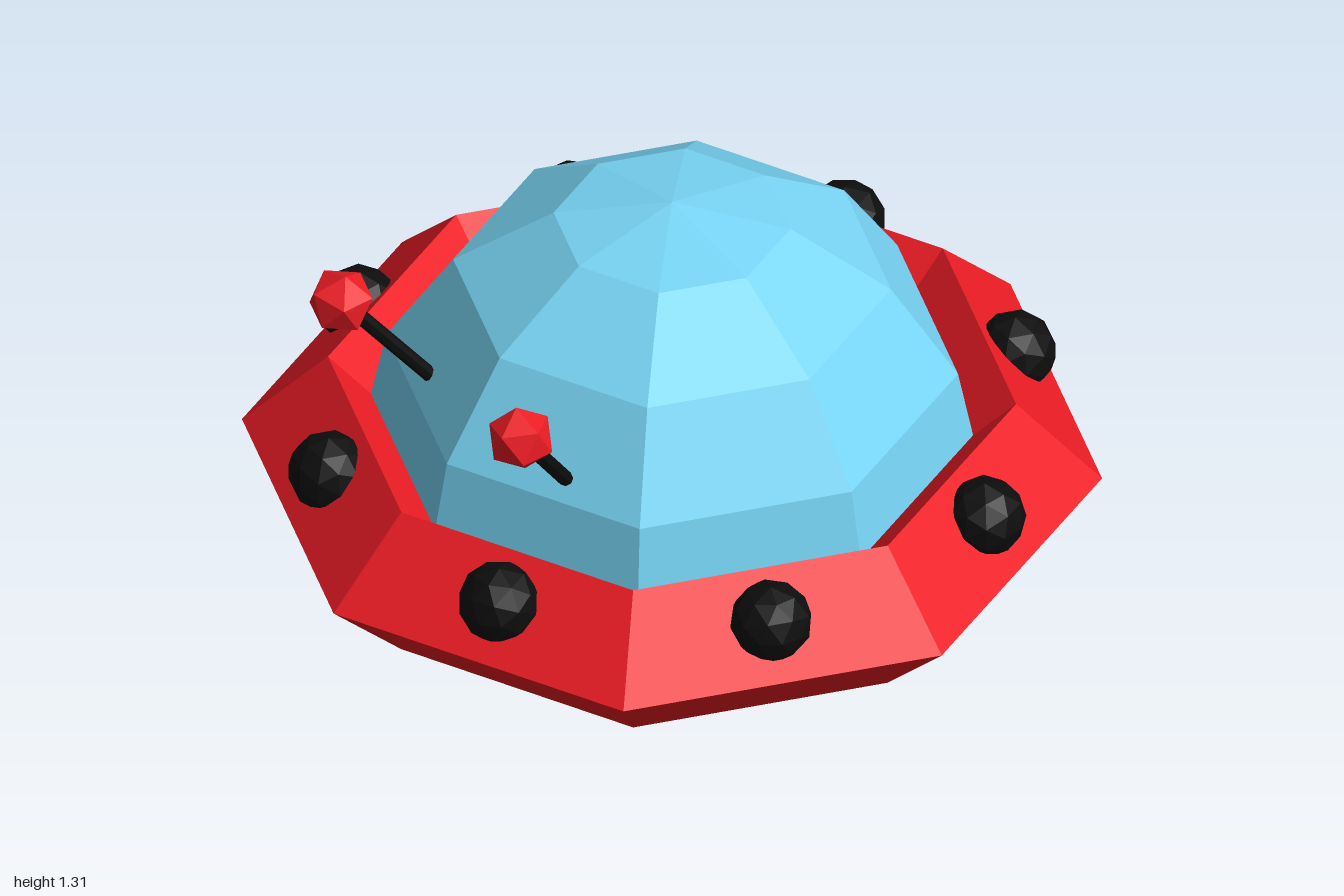
import * as THREE from 'three';

const paint = (color, side = THREE.FrontSide) =>
  new THREE.MeshStandardMaterial({ color, flatShading: true, side });

export function createModel() {
  const saucer = new THREE.Group();
  saucer.name = 'flyingSaucer';
  const red = paint(0xed1c24);
  const black = paint(0x0d0d0d);
  const blue = paint(0x78d5f5, THREE.DoubleSide);
  const green = paint(0x55c414, THREE.DoubleSide);

  const add = (name, geometry, material, parent = saucer) => {
    const mesh = new THREE.Mesh(geometry, material);
    mesh.name = name;
    parent.add(mesh);
    return mesh;
  };

  // Diamond-section rim with eight sides
  const rim = add('rim', new THREE.TorusGeometry(0.8, 0.2, 4, 8), red);
  rim.rotation.x = Math.PI / 2;
  rim.position.y = 0.59;

  // Glass dome, upper half of an eight-sided sphere
  const dome = add('dome',
    new THREE.SphereGeometry(0.72, 8, 4, 0, Math.PI * 2, 0, Math.PI / 2), blue);
  dome.position.y = 0.59;

  // Six-sided belly with corners on the z axis
  const bellyProfile = [[0, 0], [0.278, 0.077], [0.482, 0.283], [0.55, 0.395], [0.62, 0.5], [0.69, 0.6]]
    .map(([r, y]) => new THREE.Vector2(r, y));
  add('belly', new THREE.LatheGeometry(bellyProfile, 6), green);

  // Eight lamps, one in the middle of each upper rim face
  const lampGeometry = new THREE.IcosahedronGeometry(0.097, 1);
  for (let i = 0; i < 8; i++) {
    const a = (i + 0.5) * Math.PI / 4;
    const lamp = add('lamp', lampGeometry, black);
    lamp.position.set(0.825 * Math.cos(a), 0.7, 0.825 * Math.sin(a));
    lamp.rotation.y = -a;
  }

  // Two antennae leaning forward and outward
  const up = new THREE.Vector3(0, 1, 0);
  for (const [name, side] of [['leftAntenna', 1], ['rightAntenna', -1]]) {
    const antenna = new THREE.Group();
    antenna.name = name;
    saucer.add(antenna);
    const foot = new THREE.Vector3(0.015 + side * 0.25, 0.915, 0.525);
    const tip = new THREE.Vector3(0.022 + side * 0.333, 1.187, 0.73);
    const along = tip.clone().sub(foot);
    const rod = add('antennaRod',
      new THREE.CylinderGeometry(0.018, 0.018, along.length(), 8), black, antenna);
    rod.position.copy(foot).add(tip).multiplyScalar(0.5);
    rod.quaternion.setFromUnitVectors(up, along.normalize());
    const ball = add('antennaBall', new THREE.IcosahedronGeometry(0.08, 0), red, antenna);
    ball.position.copy(tip);
    ball.rotation.z = -side * 0.35;
  }

  return saucer;
}
